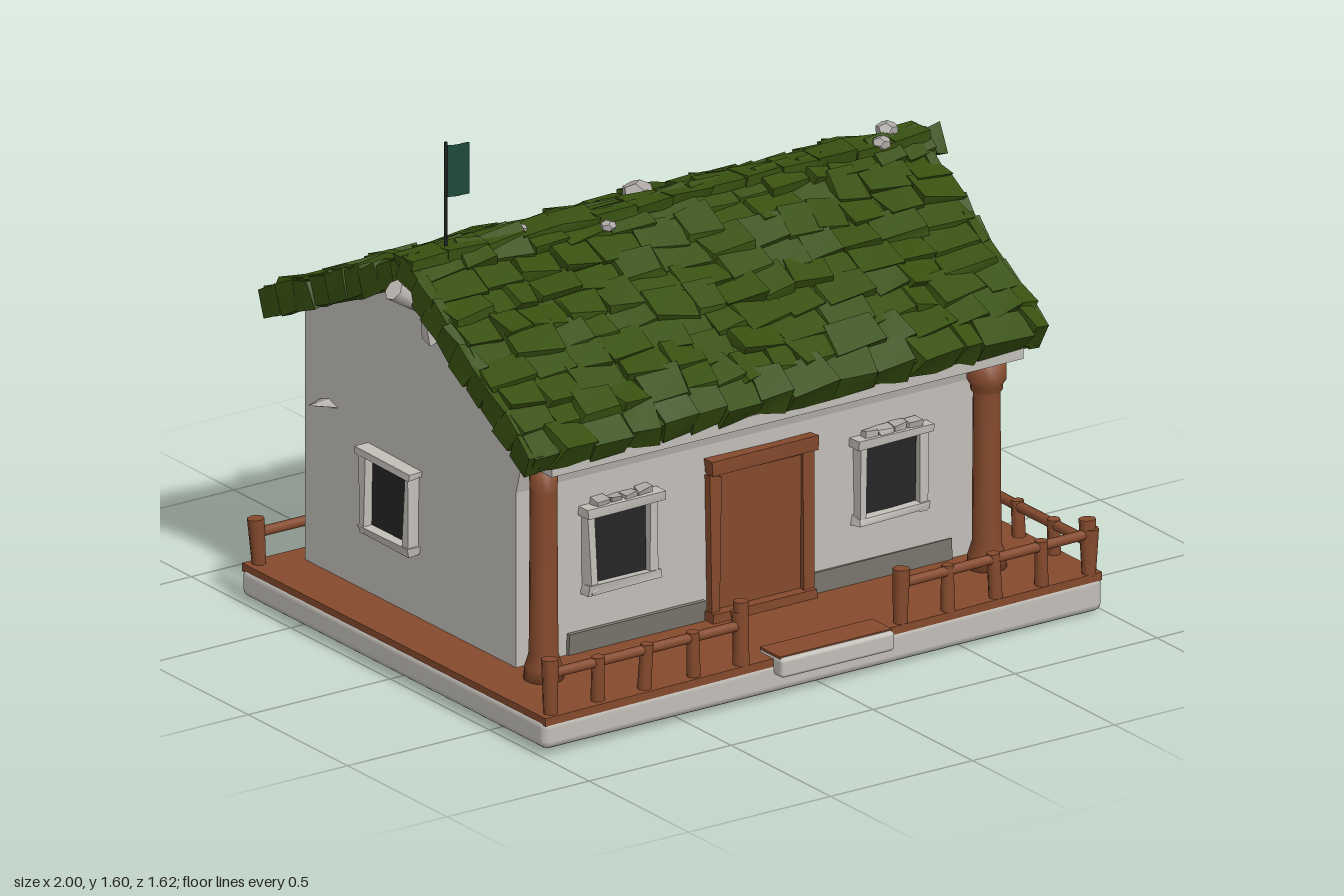
import * as THREE from 'three';
import { mergeGeometries } from 'three/addons/utils/BufferGeometryUtils.js';
import { RoundedBoxGeometry } from 'three/addons/geometries/RoundedBoxGeometry.js';

export function createModel() {
  const model = new THREE.Group();
  const mat = (name, color, side = THREE.FrontSide) => {
    const m = new THREE.MeshStandardMaterial({ color, side });
    m.name = name;
    return m;
  };
  const plaster = mat('plaster', 0xc2beb8);
  const wood = mat('wood', 0x854a2d);
  const moss = mat('moss green', 0x375010);
  const glass = mat('dark glass', 0x252527);
  const stone = mat('stone', 0xaea9a7);
  const footing = mat('footing grey', 0x77736b);
  const cloth = mat('flag teal', 0x1d4a3b, THREE.DoubleSide);
  const iron = mat('pole dark', 0x1c2420);

  let seed = 7;
  const rand = () => (seed = (seed * 16807) % 2147483647) / 2147483647;
  const vary = (a) => (rand() - 0.5) * 2 * a;

  const add = (name, geo, material, x = 0, y = 0, z = 0, parent = model) => {
    const mesh = new THREE.Mesh(geo, material);
    mesh.name = name;
    mesh.position.set(x, y, z);
    parent.add(mesh);
    return mesh;
  };
  // Box whose eight corners are nudged, for a hand-made look
  const roughBox = (w, h, d, amount) => {
    const g = new THREE.BoxGeometry(w, h, d);
    const nudges = Array.from({ length: 8 }, () => [vary(amount), vary(amount), vary(amount)]);
    const p = g.attributes.position;
    for (let i = 0; i < p.count; i++) {
      const n = nudges[(p.getX(i) > 0 ? 1 : 0) + (p.getY(i) > 0 ? 2 : 0) + (p.getZ(i) > 0 ? 4 : 0)];
      p.setXYZ(i, p.getX(i) + n[0], p.getY(i) + n[1], p.getZ(i) + n[2]);
    }
    g.computeVertexNormals();
    return g;
  };
  // Skews the platform: its front edge runs at a slant and its right end is thinner
  const skew = (g) => {
    const p = g.attributes.position;
    for (let i = 0; i < p.count; i++) {
      const x = p.getX(i);
      if (p.getZ(i) > 0) p.setZ(i, p.getZ(i) - x * 0.022);
      if (p.getY(i) < -0.02) p.setY(i, p.getY(i) + (1 - x) * 0.01);
    }
    return g;
  };

  // Foundation, deck and front step
  add('foundation', skew(new RoundedBoxGeometry(2, 0.11, 1.51, 2, 0.025)), plaster, 0, 0.055, 0);
  add('deck', skew(new THREE.BoxGeometry(1.99, 0.025, 1.505)), wood, 0, 0.108, 0);
  add('frontStep', new RoundedBoxGeometry(0.4, 0.06, 0.12, 2, 0.012), plaster, 0.02, 0.1, 0.74);
  add('stepTop', new THREE.BoxGeometry(0.395, 0.008, 0.1), wood, 0.02, 0.13, 0.735);

  // Walls: gable section, flaring forward into the porch beam
  const section = new THREE.Shape([
    [-0.39, 0.11], [0.67, 0.11], [0.67, 0.895], [0.04, 1.185], [-0.57, 0.8], [-0.57, 0.765],
    [-0.47, 0.765], [-0.41, 0.73], [-0.39, 0.66],
  ].map(([z, y]) => new THREE.Vector2(z, y)));
  const walls = new THREE.ExtrudeGeometry(section, { depth: 1.66, bevelEnabled: false });
  walls.translate(0, 0, -0.83).rotateY(Math.PI / 2);
  add('walls', walls, plaster);

  // Grey footing along the front and left walls
  for (const [x, w] of [[-0.41, 0.48], [0.45, 0.5]]) {
    add('wallFooting', roughBox(w, 0.07, 0.01, 0.003), footing, x, 0.15, 0.393);
  }
  add('wallFooting', roughBox(0.01, 0.07, 0.79, 0.003), footing, 0.833, 0.15, -0.285);

  // Porch pillars
  for (const [x, capped] of [[-0.81, false], [0.75, true]]) {
    const cap = capped
      ? [[0.04, 0.66], [0.048, 0.67], [0.048, 0.685], [0.058, 0.7], [0.058, 0.755], [0, 0.766]]
      : [[0.04, 0.7], [0.043, 0.766], [0, 0.766]];
    const profile = [[0, 0.115], [0.06, 0.115], [0.055, 0.16], [0.043, 0.2], ...cap]
      .map(([r, y]) => new THREE.Vector2(r, y));
    add('porchPillar', new THREE.LatheGeometry(profile, 14), wood, x, 0, 0.5);
  }

  // Door with its frame
  add('doorPanel', roughBox(0.3, 0.44, 0.03, 0.003), wood, 0.02, 0.345, 0.385);
  for (const s of [-1, 1]) {
    add('doorJamb', roughBox(0.035, 0.45, 0.045, 0.005), wood, 0.02 + s * 0.165, 0.345, 0.395);
  }
  add('doorLintel', roughBox(0.375, 0.045, 0.06, 0.005), wood, 0.02, 0.597, 0.4);
  add('doorSill', roughBox(0.37, 0.03, 0.06, 0.004), wood, 0.02, 0.135, 0.4);

  // Windows: dark pane, rough frame, ledge and loose stones on the front ones
  const addWindow = (x, y, z, turn, stones) => {
    const g = new THREE.Group();
    g.name = 'window';
    g.position.set(x, y, z);
    g.rotation.y = turn;
    model.add(g);
    add('windowPane', new THREE.BoxGeometry(0.21, 0.225, 0.008), glass, 0, 0, 0.006, g);
    for (const s of [-1, 1]) {
      add('windowJamb', roughBox(0.024, 0.25, 0.045, 0.006), plaster, s * 0.108, 0, 0.015, g);
    }
    add('windowSill', roughBox(0.25, 0.026, 0.05, 0.006), plaster, 0, -0.118, 0.015, g);
    add('windowLedge', roughBox(0.27, 0.024, 0.06, 0.006), plaster, 0, 0.122, 0.018, g);
    for (let i = 0; stones && i < 4; i++) {
      add('ledgeStone', roughBox(0.045, 0.022, 0.035, 0.006), stone, -0.075 + i * 0.05, 0.143, 0.02, g);
    }
  };
  for (const x of [-0.475, 0.475]) {
    addWindow(x, 0.435, 0.39, 0, true);
    addWindow(x, 0.435, -0.67, Math.PI, false);
  }
  for (const s of [-1, 1]) addWindow(s * 0.83, 0.445, -0.22, s * Math.PI / 2, false);

  // Little stone spurs and knobs on the side walls
  for (const s of [-1, 1]) {
    const spur = add('wallSpur', new THREE.ConeGeometry(0.055, 0.09, 4), plaster, s * 0.86, 0.645, -0.55);
    spur.rotation.z = -s * 1.45;
    spur.scale.x = 0.3;
    add('gableKnob', roughBox(0.04, 0.06, 0.05, 0.01), plaster, s * 0.84, 1.03, -0.03);
  }
  const ridgeStub = add('ridgeBeamEnd', new THREE.CylinderGeometry(0.033, 0.016, 0.13, 7), plaster, -0.93, 1.155, -0.01);
  ridgeStub.rotation.z = 0.9;

  // Railing: a run of posts between two points with a rail on top
  const addRailing = (x0, z0, x1, z1, spans, y) => {
    const g = new THREE.Group();
    g.name = 'railing';
    model.add(g);
    const a = new THREE.Vector3(x0, y, z0);
    const b = new THREE.Vector3(x1, y, z1);
    for (let i = 0; i <= spans; i++) {
      const p = a.clone().lerp(b, i / spans);
      const end = i === 0 || i === spans;
      const h = y - 0.115 + (end ? 0.045 : 0.018);
      const post = add('railingPost', new THREE.CylinderGeometry(end ? 0.026 : 0.019, 0.021, h, 8), wood,
        p.x, 0.115 + h / 2, p.z, g);
      post.rotation.set(vary(0.06), 0, vary(0.06));
    }
    const mid = a.clone().lerp(b, 0.5);
    const rail = add('railingBar', new THREE.CylinderGeometry(0.016, 0.016, a.distanceTo(b), 8), wood,
      mid.x, mid.y, mid.z, g);
    rail.quaternion.setFromUnitVectors(new THREE.Vector3(0, 1, 0), b.clone().sub(a).normalize());
  };
  addRailing(-0.955, 0.74, -0.28, 0.735, 4, 0.24);
  addRailing(0.29, 0.725, 0.96, 0.71, 4, 0.24);
  addRailing(-0.96, -0.725, 0.96, -0.725, 9, 0.215);
  addRailing(0.965, 0.71, 0.965, -0.725, 8, 0.212);
  add('gatePost', new THREE.CylinderGeometry(0.022, 0.025, 0.2, 8), wood, -0.28, 0.215, 0.735);

  // Roof slopes: a slab covered in rows of uneven mossy shingles
  const addSlope = (name, side, angle, length, x0, x1, rows, bare, lift) => {
    const g = new THREE.Group();
    g.name = name;
    g.position.set(0, 1.265, -0.04);
    g.rotation.x = side * angle;
    model.add(g);
    add('roofSlab', new THREE.BoxGeometry(x1 - x0 - 0.03, 0.075, length), moss,
      (x0 + x1) / 2, -0.042, side * length / 2, g);
    const tiles = [];
    const step = length / rows;
    for (let r = 0; r < rows; r++) {
      if (r >= bare[0] && r < bare[1]) continue;
      const eave = r === rows - 1;
      let x = x0 + vary(0.015);
      while (x < x1 - 0.03) {
        const w = Math.min(0.08 + rand() * 0.09, x1 + 0.015 - x);
        const t = roughBox(w, eave ? 0.085 : 0.03, step * 1.25, 0.011);
        t.rotateX(eave ? 0 : side * -(lift + vary(0.12)));
        t.rotateZ(vary(lift));
        t.rotateY(vary(0.12));
        t.translate(x + w / 2, (eave ? -0.03 : 0) + vary(0.009), side * (r + 0.5) * step);
        tiles.push(t);
        x += w;
      }
    }
    // Clumps wrapping the gable edges
    for (const x of [x0, x1]) {
      for (let r = 0; r < rows; r++) {
        const t = roughBox(0.04, 0.085, step * 1.05, 0.009);
        t.translate(x, -0.035, side * (r + 0.5) * step);
        tiles.push(t);
      }
    }
    add('shingles', mergeGeometries(tiles), moss, 0, 0, 0, g);
  };
  addSlope('frontRoofSlope', 1, 0.562, 0.762, -0.91, 0.875, 9, [0, 0], 0.13);
  addSlope('backRoofSlope', -1, 0.425, 0.82, -0.89, 0.945, 9, [0, 3], 0.06);
  const caps = [];
  for (let x = -0.92; x < 0.86; x += 0.13) {
    caps.push(roughBox(0.135, 0.035, 0.09, 0.008).translate(x + 0.065, 1.258, -0.035));
  }
  add('ridgeCaps', mergeGeometries(caps), moss);

  // Loose stones lying on the roof
  for (const [x, y, z, r] of [[0.12, 1.145, -0.355, 0.05], [0.73, 1.275, 0.0, 0.03], [0.79, 1.285, -0.06, 0.035],
    [-0.52, 1.275, -0.03, 0.022], [-0.26, 1.25, 0.04, 0.025]]) {
    const rock = add('roofStone', new THREE.DodecahedronGeometry(r), stone, x, y, z);
    rock.scale.y = 0.7;
    rock.rotation.y = x * 5;
  }

  // Flag on its pole
  add('flagPole', new THREE.CylinderGeometry(0.005, 0.005, 0.34, 6), iron, -0.78, 1.43, -0.035);
  const flag = new THREE.PlaneGeometry(0.085, 0.16, 6, 1);
  const fp = flag.attributes.position;
  for (let i = 0; i < fp.count; i++) {
    const x = fp.getX(i);
    fp.setY(i, fp.getY(i) - x * 0.12);
    fp.setZ(i, Math.sin((x + 0.0425) * 60) * 0.005);
  }
  flag.computeVertexNormals();
  add('flag', flag, cloth, -0.735, 1.505, -0.035);

  return model;
}
